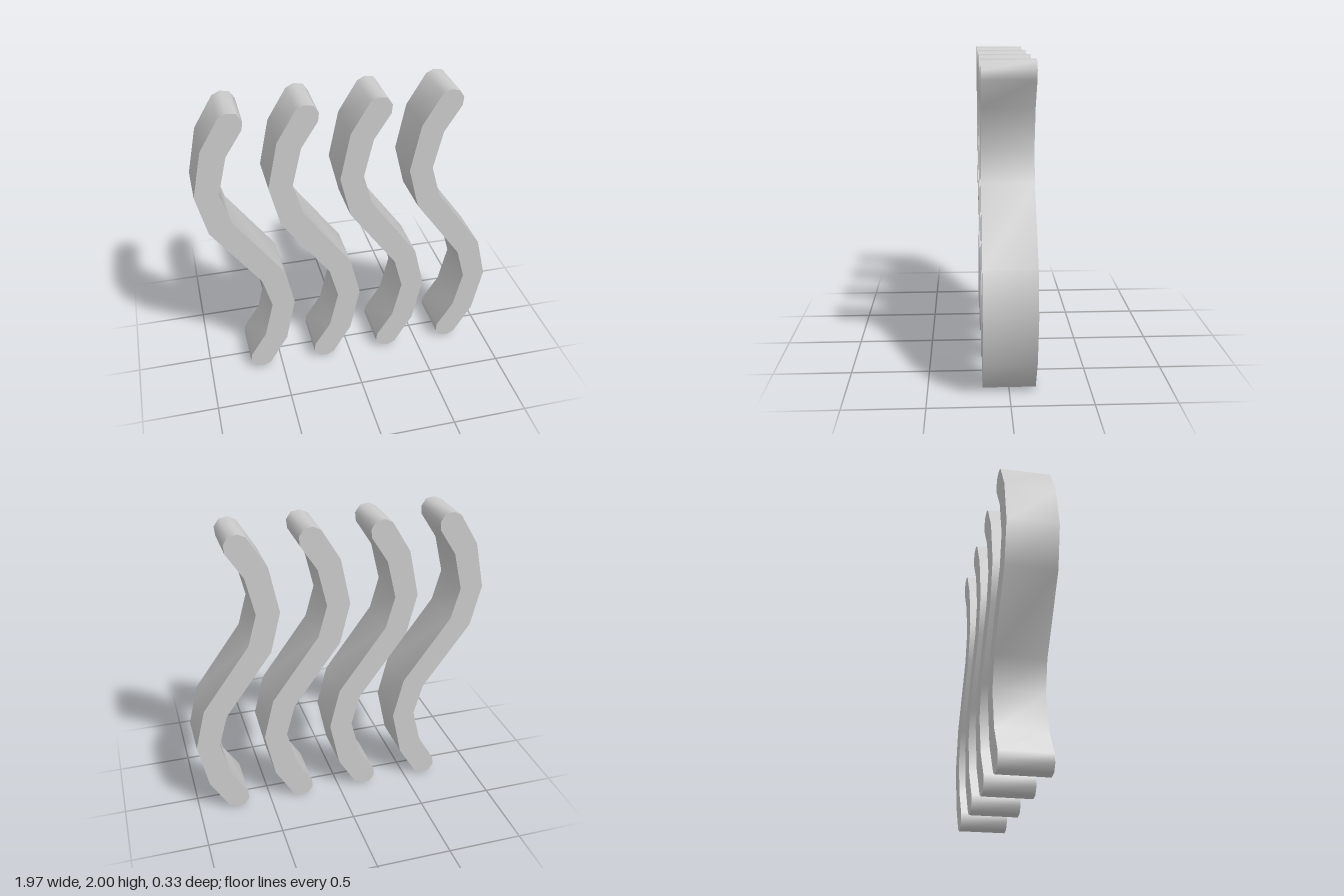
import * as THREE from 'three';
import { toCreasedNormals } from 'three/addons/utils/BufferGeometryUtils.js';

const DEPTH = 0.326;
const SPACING = 0.459;

// Half of the wavy outline about its centre; the other half is the same turned 180 degrees
const HALF = [
  [-0.058, 1.0], [0.0, 0.99], [0.032, 0.942], [0.026, 0.885],
  [-0.083, 0.715], [-0.143, 0.462], [-0.085, 0.25], [0.23, -0.185],
  [0.297, -0.46], [0.232, -0.77], [0.108, -0.975],
];

function waveGeometry() {
  const outline = [...HALF, ...HALF.map(([x, y]) => [-x, -y])];
  const shape = new THREE.Shape(outline.map(([x, y]) => new THREE.Vector2(x, y)));
  const geometry = new THREE.ExtrudeGeometry(shape, { depth: DEPTH, bevelEnabled: false });
  geometry.translate(0, 1, -DEPTH / 2);
  // Smooth around the rim, sharp where it meets the flat faces
  return toCreasedNormals(geometry, 1.05);
}

export function createModel() {
  const group = new THREE.Group();
  group.name = 'wavyBars';
  const material = new THREE.MeshStandardMaterial({ color: 0xcccccc });
  const geometry = waveGeometry();

  // Four identical bars in a row
  for (let i = 0; i < 4; i++) {
    const bar = new THREE.Mesh(geometry, material);
    bar.name = `wavyBar${i + 1}`;
    bar.position.x = (i - 1.5) * SPACING;
    group.add(bar);
  }
  return group;
}
